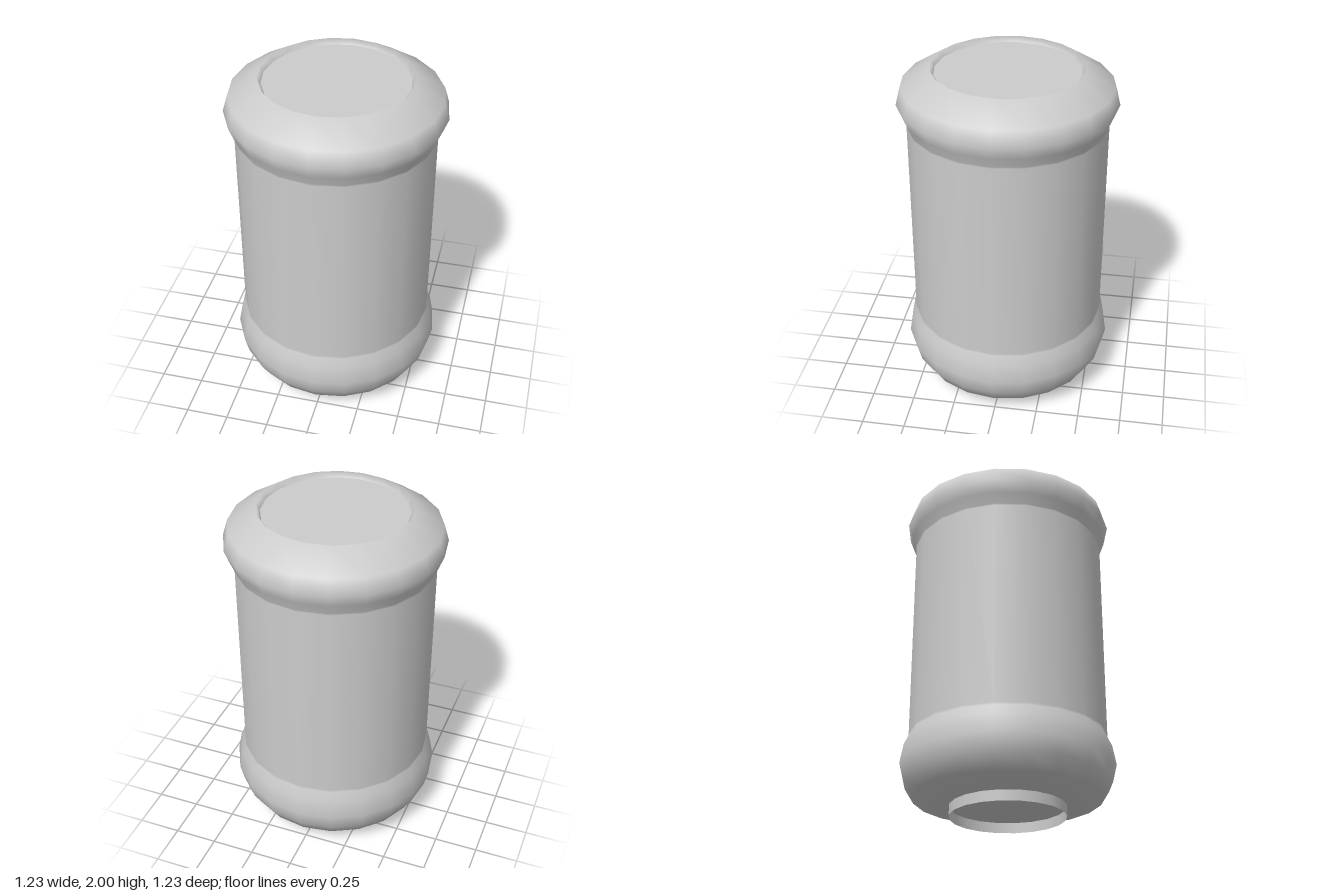
import * as THREE from 'three';

const SIDES = 20;

export function createModel() {
  const group = new THREE.Group();
  const material = new THREE.MeshStandardMaterial({ color: 0xcccccc, side: THREE.DoubleSide });

  const add = (name, geometry, y = 0) => {
    const mesh = new THREE.Mesh(geometry, material);
    mesh.name = name;
    mesh.position.y = y;
    group.add(mesh);
    return mesh;
  };

  // Turned shell: swollen lower band, straight wall, swollen upper band, inward lip
  const profile = [
    [0.33, 0.06], [0.535, 0.1], [0.587, 0.185], [0.61, 0.28], [0.59, 0.39], [0.565, 0.445],
    [0.565, 0.46], [0.565, 1.67],
    [0.565, 1.68], [0.59, 1.74], [0.617, 1.81], [0.59, 1.9], [0.428, 2], [0.407, 1.97],
  ].map(([r, y]) => new THREE.Vector2(r, y));
  add('shell', new THREE.LatheGeometry(profile, SIDES));

  // Flat lid set just below the lip
  const lid = new THREE.CircleGeometry(0.407, SIDES).rotateX(-Math.PI / 2);
  add('lid', lid, 1.97);

  // Short foot ring, open below, with the flat base inside it
  add('footRing', new THREE.CylinderGeometry(0.328, 0.328, 0.06, SIDES, 1, true), 0.03);
  const base = new THREE.CircleGeometry(0.33, SIDES).rotateX(Math.PI / 2);
  add('base', base, 0.06);

  return group;
}
